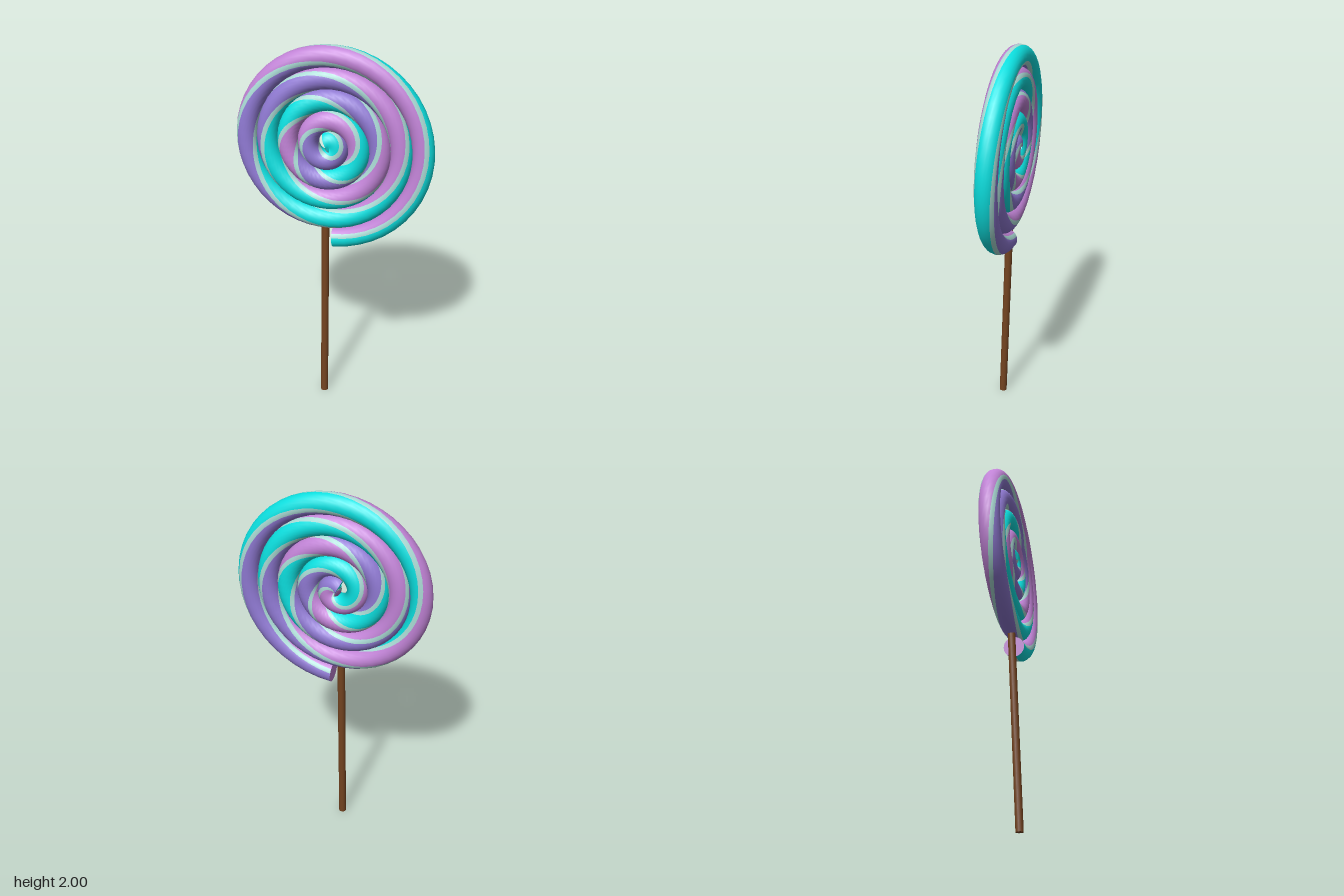
import * as THREE from 'three';

const TUBE = 0.055;            // candy rope radius
const OUTER = 0.507;           // spiral radius at the loose outer end
const PITCH = 0.108;           // distance between coils
const Q0 = 0.04, Q1 = 18.3;    // rope ends, in quarter turns from the bottom
const STEPS = 220;

// how far the stripes have wound round the rope at each quarter turn
const WIND = [-0.08, 0.07, 0.25, 0.5, 0.8, 1.1, 1.42, 1.7, 1.97, 2.33,
  2.7, 3.12, 3.58, 4.0, 4.22, 4.42, 4.57, 4.75, 4.9, 5.0];
const winding = new THREE.CubicInterpolant(WIND.map((_, i) => i), WIND, 1);

const mat = (name, color) => {
  const m = new THREE.MeshStandardMaterial({ color, side: THREE.DoubleSide });
  m.name = name;
  return m;
};

// direction from the spiral centre at quarter turn q
const radialAt = (q) => {
  const a = (q - 1) * Math.PI / 2;
  return new THREE.Vector3(Math.cos(a), Math.sin(a), 0);
};
const radiusAt = (q) => OUTER - PITCH * q / 4;

// one stripe of the rope, between two phases round its section
function stripe(from, to, cuts) {
  const pos = [], nor = [], idx = [];
  for (let i = 0; i <= STEPS; i++) {
    const q = Q0 + (Q1 - Q0) * i / STEPS;
    const dir = radialAt(q), r = radiusAt(q);
    const shift = winding.evaluate(q)[0] - 0.25;
    for (let j = 0; j <= cuts; j++) {
      const t = 2 * Math.PI * (from + (to - from) * j / cuts - shift);
      const n = dir.clone().multiplyScalar(Math.cos(t)).setZ(Math.sin(t));
      const p = dir.clone().multiplyScalar(r).addScaledVector(n, TUBE);
      pos.push(p.x, p.y, p.z);
      nor.push(n.x, n.y, n.z);
      if (i < STEPS && j < cuts) {
        const a = i * (cuts + 1) + j, b = a + cuts + 1;
        idx.push(a, b, a + 1, b, b + 1, a + 1);
      }
    }
  }
  const g = new THREE.BufferGeometry();
  g.setAttribute('position', new THREE.Float32BufferAttribute(pos, 3));
  g.setAttribute('normal', new THREE.Float32BufferAttribute(nor, 3));
  g.setIndex(idx);
  return g;
}

// flat disc closing the rope at q; side is -1 for the outer end, 1 for the inner
function endCap(q, side) {
  const dir = radialAt(q);
  const tangent = new THREE.Vector3(-dir.y, dir.x, 0).multiplyScalar(side);
  const up = new THREE.Vector3(0, 0, -side);
  const m = new THREE.Matrix4().makeBasis(dir, up, tangent);
  m.setPosition(dir.clone().multiplyScalar(radiusAt(q)));
  return new THREE.CircleGeometry(TUBE, 24).applyMatrix4(m);
}

export function createModel() {
  const pink = mat('pink candy', 0xc183d6);
  const purple = mat('purple candy', 0x8f79d2);
  const cyan = mat('cyan candy', 0x0ce0e0);
  const pale = mat('pale mint candy', 0xa9dad4);
  const brown = mat('brown stick', 0x744420);

  const model = new THREE.Group();
  model.name = 'lollipop';
  const body = new THREE.Group();
  body.name = 'leaningLollipop';
  body.position.set(-0.027, 1.492, 0.0025);
  body.rotation.x = -0.037;
  model.add(body);

  const add = (name, geometry, material) => {
    const mesh = new THREE.Mesh(geometry, material);
    mesh.name = name;
    body.add(mesh);
    return mesh;
  };

  // three wide stripes with a thin pale stripe between each pair
  const half = 0.035;
  [['pinkStripe', pink], ['purpleStripe', purple], ['cyanStripe', cyan]].forEach(([name, material], k) => {
    const start = k / 3;
    add(name, stripe(start + half, start + 1 / 3 - half, 6), material);
    add('paleStripe' + (k + 1), stripe(start - half, start + half, 2), pale);
  });

  // rope ends
  add('outerEnd', endCap(Q0, -1), pink);
  add('innerEnd', endCap(Q1, 1), cyan);

  // stick, running up into the candy
  const stick = add('stick', new THREE.CylinderGeometry(0.02, 0.02, 1.07, 16), brown);
  stick.position.set(-0.013, -0.957, 0);
  return model;
}
